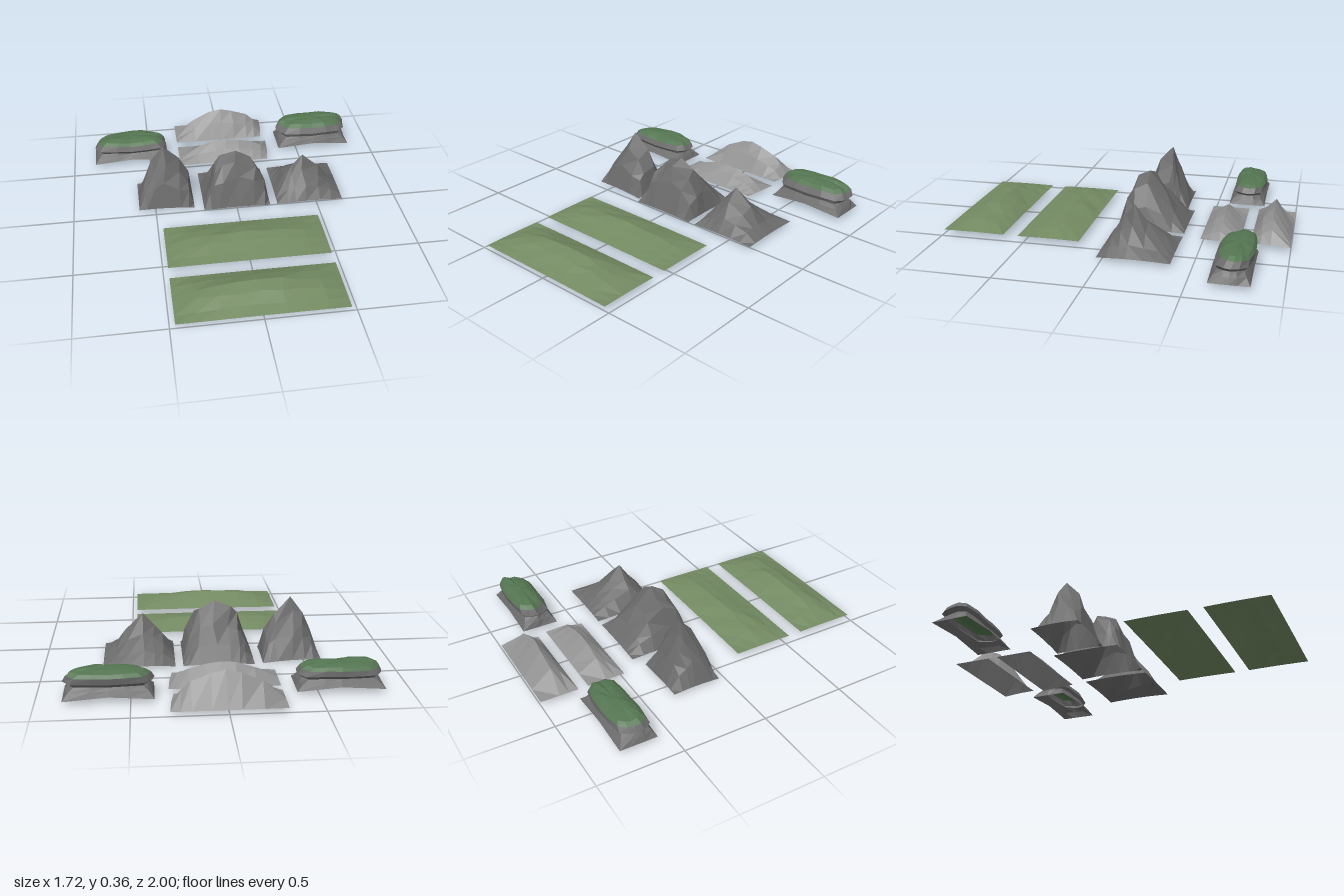
import * as THREE from 'three';

const lerp = THREE.MathUtils.lerp;

function seeded(seed) {
  let s = seed;
  return () => ((s = (s * 16807) % 2147483647) / 2147483647) * 2 - 1;
}

const material = (color) =>
  new THREE.MeshStandardMaterial({ color, flatShading: true, side: THREE.DoubleSide });
const darkRock = material(0x6c6c6c);
const paleRock = material(0x939393);
const grass = material(0x738a62);
const moss = material(0x547551);

// Joins equal rows of points into a faceted surface.
function surface(name, rows, mat) {
  const n = rows[0].length;
  const index = [];
  for (let j = 0; j < rows.length - 1; j++) {
    for (let i = 0; i < n - 1; i++) {
      const a = j * n + i, b = a + n;
      index.push(a, b, a + 1, a + 1, b, b + 1);
    }
  }
  const indexed = new THREE.BufferGeometry();
  indexed.setAttribute('position', new THREE.Float32BufferAttribute(rows.flat(2), 3));
  indexed.setIndex(index);
  const geo = indexed.toNonIndexed();
  geo.computeVertexNormals();
  const mesh = new THREE.Mesh(geo, mat);
  mesh.name = name;
  return mesh;
}

// Terrain tile: silhouettes along x [x, height] and along z [z, share of height].
function terrain(name, { alongX, alongZ, base, mat, seed, pyramid = 0, rough, arch = 0, shear = 0 }) {
  const rnd = seeded(seed);
  const x0 = alongX[0][0], width = alongX.at(-1)[0] - x0;
  const z0 = alongZ[0][0], depth = alongZ.at(-1)[0] - z0;
  const top = Math.max(...alongX.map((p) => p[1]));
  const rows = alongZ.map(([z, fz], j) => alongX.map(([x, h], i) => {
    const edge = i === 0 || j === 0 || i === alongX.length - 1 || j === alongZ.length - 1;
    const fx = h / top;
    const share = lerp(fx * fz, Math.min(fx, fz), pyramid);
    const t = (x - x0) / width, u = (z - z0) / depth;
    // outer edges lift between their corners
    const lift = edge ? arch * (Math.sin(Math.PI * t) + Math.sin(Math.PI * u)) : 0;
    const k = edge || share > 0.97 ? 0 : rough * Math.min(1, share * 2);
    return [
      x + rnd() * k - shear * Math.max(0, t - 0.7) * j,
      lerp(base[0], base[1], t) + lift + share * top + rnd() * k * 0.5,
      z + rnd() * k,
    ];
  }));
  return surface(name, rows, mat);
}

// Rings [y, x share, z share, squareness, z shift, corner sag] lofted upwards.
function loft(name, rings, hx, hz, mat, seed) {
  const rnd = seeded(seed), sides = 16;
  const wobble = Array.from({ length: sides }, () => rnd());
  const rows = rings.map(([y, sx, sz, square, dz = 0, sag = 0]) =>
    Array.from({ length: sides + 1 }, (_, i) => {
      const a = (i / sides) * Math.PI * 2;
      const c = Math.cos(a), s = -Math.sin(a);
      const r = lerp(1, 1 / Math.max(Math.abs(c), Math.abs(s)), square);
      const w = wobble[i % sides] * (1 - square);
      const k = r * (1 + 0.07 * w);
      return [c * k * sx * hx, y + 0.008 * w - sag * Math.abs(c * r), s * k * sz * hz + dz];
    }));
  return surface(name, rows.reverse(), mat);
}

function mossyRock(name, x, z, rise, shift, seed) {
  const group = new THREE.Group();
  const y = (v) => 0.025 + (v - 0.025) * rise;
  group.add(
    // flared foot, undercut waist and overhanging lip
    loft('rockBody', [
      [0.04, 1, 1, 1, 0, 0.018], [y(0.068), 0.95, 0.86, 0.75, 0, 0.01], [y(0.085), 0.88, 0.76, 0.5],
      [y(0.108), 1, 0.93, 0.4, shift * 0.3], [y(0.143), 0.92, 0.87, 0.3, shift * 0.8],
    ], 0.24, 0.11, darkRock, seed),
    loft('mossCap', [
      [y(0.143), 0.92, 0.87, 0.3, shift * 0.8], [y(0.162), 0.8, 0.7, 0.3, shift],
      [y(0.175), 0.5, 0.4, 0.3, shift], [y(0.178), 0, 0, 1, shift],
    ], 0.24, 0.11, moss, seed),
  );
  group.position.set(x, 0, z);
  group.name = name;
  return group;
}

export function createModel() {
  const model = new THREE.Group();
  model.name = 'terrainSet';

  // Two low grassy hills
  const hillX = [[-0.47, 0], [-0.35, 0.042], [-0.235, 0.062], [-0.12, 0.066], [0, 0.075],
    [0.12, 0.069], [0.235, 0.052], [0.35, 0.04], [0.47, 0]];
  const hillZ = [[-0.18, 0], [-0.1, 0.6], [-0.02, 1], [0.05, 0.78], [0.12, 0.34], [0.18, 0]];
  [['frontHill', 0.815, 1], ['rearHill', 0.36, 0.73]].forEach(([name, z, k], i) => {
    model.add(terrain(name, {
      alongX: hillX.map(([x, h]) => [x, h * k]),
      alongZ: hillZ.map(([dz, f]) => [z + dz * 1.02, f]),
      base: [0.025, 0.025], mat: grass, seed: 11 + i, rough: 0.009, arch: 0.002,
    }));
  });

  // Three steep peaks
  model.add(
    terrain('rightPeak', {
      alongX: [[-0.6, 0], [-0.555, 0.14], [-0.505, 0.255], [-0.43, 0.355], [-0.345, 0.255],
        [-0.295, 0.17], [-0.26, 0]],
      alongZ: [[-0.33, 0], [-0.28, 0.42], [-0.23, 0.75], [-0.2, 1], [-0.13, 0.77], [-0.075, 0.45], [-0.04, 0]],
      base: [0.014, 0], mat: darkRock, seed: 21, pyramid: 0.25, rough: 0.018, arch: 0.007,
    }),
    terrain('middlePeak', {
      alongX: [[-0.205, 0], [-0.16, 0.125], [-0.12, 0.23], [-0.07, 0.275], [0.01, 0.31],
        [0.11, 0.25], [0.17, 0.13], [0.205, 0]],
      alongZ: [[-0.385, 0], [-0.31, 0.32], [-0.24, 0.65], [-0.14, 1], [-0.07, 0.86], [-0.03, 0.58], [0.025, 0]],
      base: [0.02, 0.02], mat: darkRock, seed: 32, pyramid: 0.2, rough: 0.018, arch: 0.006,
    }),
    terrain('leftPeak', {
      alongX: [[0.25, 0], [0.32, 0.11], [0.37, 0.165], [0.43, 0.242], [0.52, 0.148], [0.59, 0.065], [0.66, 0]],
      alongZ: [[-0.385, 0], [-0.31, 0.28], [-0.23, 0.6], [-0.14, 1], [-0.085, 0.68], [-0.03, 0.36], [0.025, 0]],
      base: [0.02, 0.02], mat: darkRock, seed: 43, pyramid: 0.4, rough: 0.014, arch: 0.006,
    }),
  );

  // Two narrow ridges with skewed ends
  const ridgeX = [[-0.305, 0], [-0.18, 0.105], [-0.065, 0.16], [0.01, 0.175], [0.09, 0.155],
    [0.19, 0.12], [0.25, 0.075], [0.3, 0.005]];
  const ridgeZ = [[0, 0], [0.113, 1], [0.168, 0.6], [0.225, 0]];
  [['rearRidge', -1, 1], ['innerRidge', -0.715, 0.6]].forEach(([name, z, k], i) => {
    model.add(terrain(name, {
      alongX: ridgeX.map(([x, h]) => [x, h * k]),
      alongZ: ridgeZ.map(([dz, f]) => [z + dz, f]),
      base: [0.025, 0.025], mat: paleRock, seed: 54 + i, rough: 0.008, shear: 0.027,
    }));
  });

  // Moss-topped boulders
  model.add(
    mossyRock('rightBoulder', -0.62, -0.69, 0.86, -0.012, 65),
    mossyRock('leftBoulder', 0.615, -0.72, 1, -0.025, 76),
  );
  return model;
}
